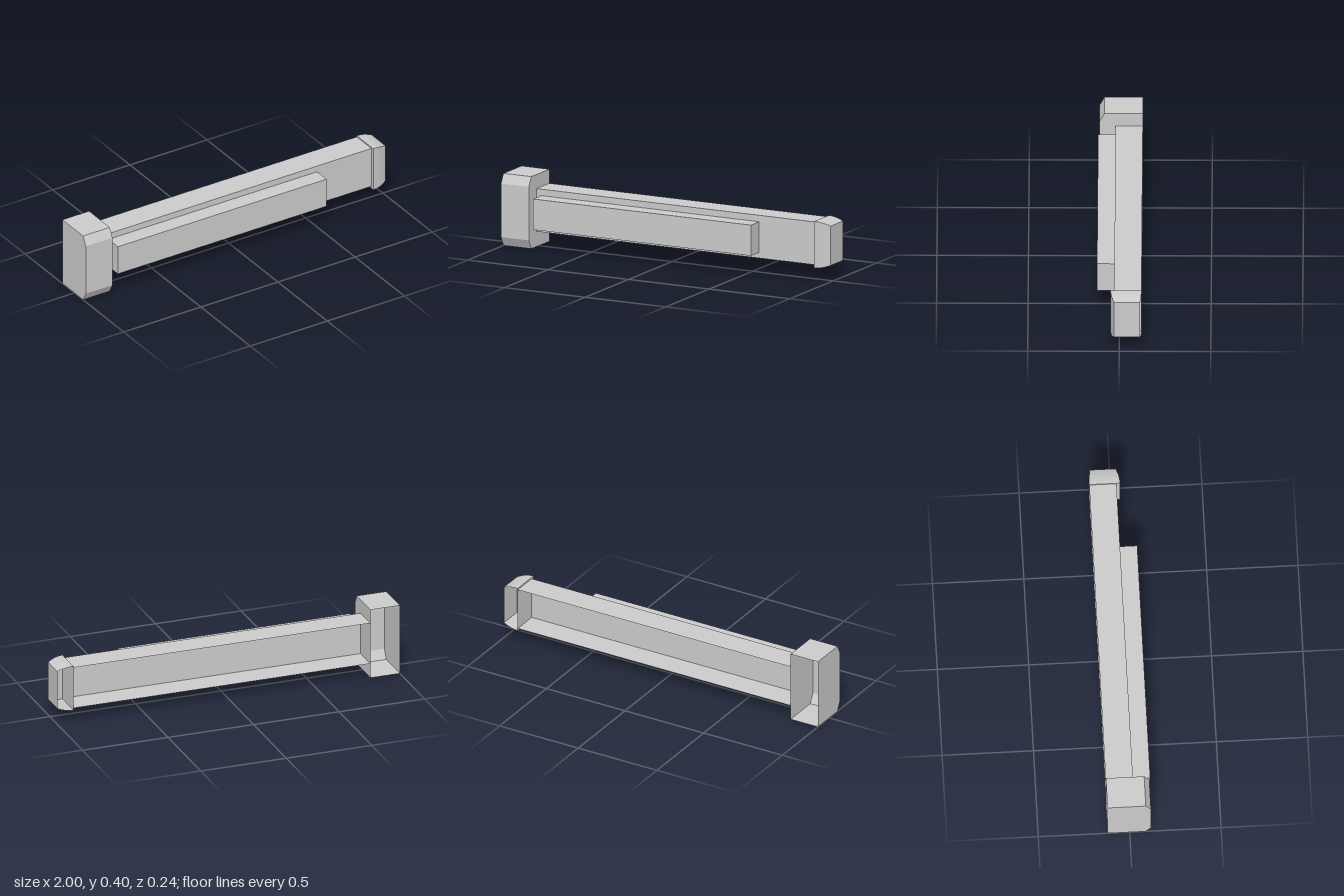
import * as THREE from 'three';

const material = new THREE.MeshStandardMaterial({
  color: 0xcccccc,
  flatShading: true,
  side: THREE.DoubleSide,
});

// Shell along x, open at the back. Each section is { x, points: [[z, y], ...] },
// running from the lower back edge round the front to the upper back edge.
function openShell(name, sections) {
  const positions = [];
  const at = (s, i) => [s.x, s.points[i][1], s.points[i][0]];
  const tri = (a, b, c) => positions.push(...a, ...b, ...c);
  const count = sections[0].points.length;

  // walls between neighbouring sections
  for (let k = 0; k < sections.length - 1; k++) {
    const s = sections[k], t = sections[k + 1];
    for (let i = 0; i < count - 1; i++) {
      tri(at(s, i), at(t, i), at(t, i + 1));
      tri(at(s, i), at(t, i + 1), at(s, i + 1));
    }
  }
  // closed ends
  const first = sections[0], last = sections[sections.length - 1];
  for (let i = 1; i < count - 1; i++) {
    tri(at(first, 0), at(first, i), at(first, i + 1));
    tri(at(last, 0), at(last, i + 1), at(last, i));
  }

  const geometry = new THREE.BufferGeometry();
  geometry.setAttribute('position', new THREE.Float32BufferAttribute(positions, 3));
  geometry.computeVertexNormals();
  const mesh = new THREE.Mesh(geometry, material);
  mesh.name = name;
  return mesh;
}

// Rectangular cross-section, open at the back
const channel = (zBack, zFront, y0, y1) => [[zBack, y0], [zFront, y0], [zFront, y1], [zBack, y1]];

const prism = (name, x0, x1, points) => openShell(name, [{ x: x0, points }, { x: x1, points }]);

export function createModel() {
  const model = new THREE.Group();
  model.name = 'handleBar';
  const back = -0.121;

  // long main bar and the raised rail on its front
  model.add(prism('mainBar', -0.827, 0.908, channel(back, 0.028, 0.085, 0.325)));
  model.add(prism('frontRail', -0.797, 0.556, channel(0.028, 0.123, 0.117, 0.289)));

  // large end block with chamfered front edges
  model.add(prism('endBlock', -1, -0.827, [
    [back, 0], [0.088, 0], [0.116, 0.052],
    [0.116, 0.352], [0.088, 0.404], [back, 0.404],
  ]));

  // small end cap, rounding inwards towards its tip
  const steps = 6;
  const capSections = [];
  for (let i = 0; i <= steps; i++) {
    const t = i / steps;
    const inset = 0.02 * t * t;
    capSections.push({
      x: 0.908 + 0.092 * t,
      points: channel(back + 0.4 * inset, 0.048 - inset, 0.072 + inset, 0.333 - inset),
    });
  }
  model.add(openShell('endCap', capSections));

  return model;
}
